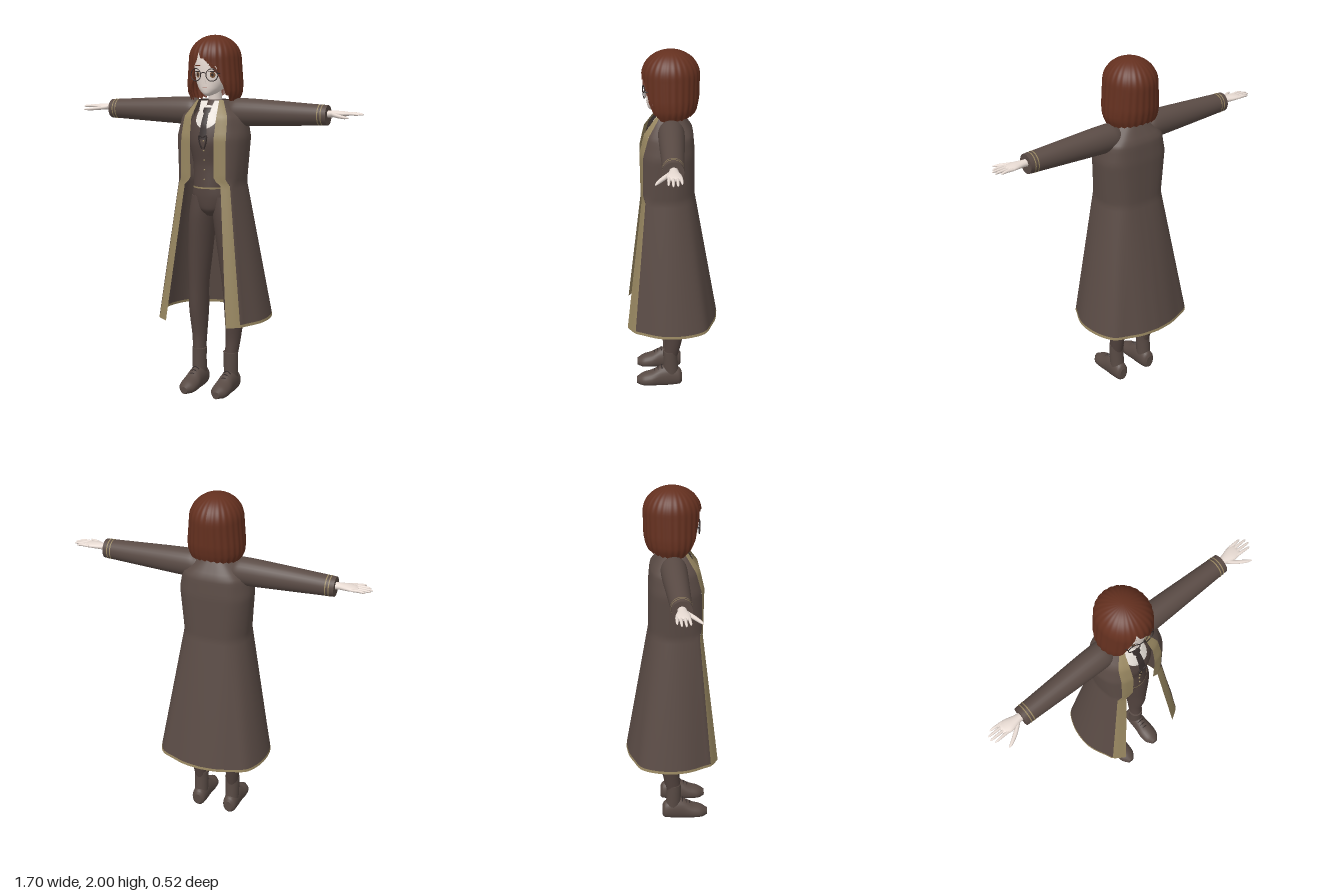
import * as THREE from 'three';

const mat = (name, color, side = THREE.FrontSide) => {
  const m = new THREE.MeshStandardMaterial({ color, side });
  m.name = name;
  return m;
};
const { lerp, clamp } = THREE.MathUtils;

// smooth surface from a rule fn(u, v) -> [x, y, z]
function grid(fn, nu, nv, closed = false) {
  const pos = [], idx = [], w = closed ? nu : nu + 1;
  for (let j = 0; j <= nv; j++) for (let i = 0; i < w; i++) pos.push(...fn(i / nu, j / nv));
  for (let j = 0; j < nv; j++) for (let i = 0; i < nu; i++) {
    const a = j * w + i, b = j * w + (i + 1) % w;
    idx.push(a, b, b + w, a, b + w, a + w);
  }
  const g = new THREE.BufferGeometry();
  g.setAttribute('position', new THREE.Float32BufferAttribute(pos, 3));
  g.setIndex(idx);
  g.computeVertexNormals();
  return g;
}

// piecewise linear lookup in rows keyed by their first number
function look(rows, t) {
  let i = 0;
  while (i < rows.length - 2 && t > rows[i + 1][0]) i++;
  const k = clamp((t - rows[i][0]) / (rows[i + 1][0] - rows[i][0]), 0, 1);
  return rows[i].map((a, n) => lerp(a, rows[i + 1][n], k));
}

// capped body of elliptical rings [position, centreA, centreB, radiusA, radiusB]
function loft(axis, rings, nu = 28, nv = 28) {
  const curves = rings[0].map((_, n) =>
    new THREE.CatmullRomCurve3(rings.map(r => new THREE.Vector3(r[n], 0, 0)), false, 'catmullrom', 0.4));
  return grid((u, v) => {
    const row = Math.round(v * (nv + 4)) - 2;
    const t = clamp(row / nv, 0, 1), k = row === -2 || row === nv + 2 ? 0 : 1;
    const [p, a, b, ra, rb] = curves.map(c => c.getPoint(t).x);
    const s = Math.sin(u * Math.PI * 2) * k, c = Math.cos(u * Math.PI * 2) * k;
    if (axis === 'y') return [a + ra * s, p, b + rb * c];
    if (axis === 'x') return [p, a - ra * s, b + rb * c];
    return [a - ra * s, Math.max(0, b + rb * c), p];
  }, nu, nv + 4, true);
}

const tube = (pts, r, n = 12) => new THREE.TubeGeometry(
  new THREE.CatmullRomCurve3(pts.map(p => new THREE.Vector3(...p))), n, r, 6);

// height, then x,z pairs from the centre of the back to the front edge
const COAT = [
  [0.43, 0, -.262, .1, -.25, .18, -.222, .26, -.185, .305, -.1, .32, 0, .31, .08, .27, .17, .25, .21, .185, .255],
  [1.2, 0, -.125, .06, -.122, .11, -.11, .15, -.08, .178, -.03, .185, .02, .18, .07, .168, .12, .155, .145, .108, .165],
  [1.222, 0, -.125, .06, -.122, .11, -.11, .15, -.08, .18, -.03, .187, .02, .182, .07, .168, .12, .135, .158, .07, .172],
  [1.45, 0, -.125, .07, -.122, .13, -.108, .175, -.075, .2, -.03, .205, .015, .2, .06, .18, .11, .135, .155, .072, .175],
  [1.56, 0, -.115, .07, -.112, .13, -.095, .165, -.06, .185, -.02, .19, .01, .185, .04, .165, .08, .13, .125, .075, .15],
  [1.65, 0, -.06, .03, -.058, .05, -.05, .07, -.035, .085, -.02, .09, .005, .09, .025, .085, .05, .08, .068, .062, .085],
];
function coatPoint(u, y) {
  const r = look(COAT, y), pts = [];
  for (let i = 1; i < r.length; i += 2) pts.push(new THREE.Vector3(r[i], y, r[i + 1]));
  const p = new THREE.CatmullRomCurve3(pts).getPoint(Math.abs(u));
  return [p.x * Math.sign(u), y, p.z];
}
const coatPatch = (u0, u1, y0, y1, nu, nv) =>
  grid((u, v) => coatPoint(lerp(u0, u1, u), lerp(y1, y0, v)), nu, nv);

const HEAD = [[1.672, 0, .095, .008, .012], [1.685, 0, .08, .035, .045], [1.71, 0, .055, .065, .077],
  [1.75, 0, .035, .088, .1], [1.8, 0, .03, .098, .108], [1.86, 0, .025, .105, .11],
  [1.92, 0, .02, .09, .1], [1.96, 0, .02, .04, .05]];
const VEST = [[1.17, 0, .02, .112, .125], [1.3, 0, .02, .115, .118], [1.42, 0, .02, .14, .135],
  [1.52, 0, .01, .14, .125], [1.6, 0, .005, .09, .09], [1.65, 0, .005, .04, .045]];

// thin patch lying on the front of a lofted body
function onFront(rings, x, y, off) {
  const [, cx, cz, rx, rz] = look(rings, y);
  return [x, y, cz + rz * Math.sqrt(Math.max(0, 1 - ((x - cx) / rx) ** 2)) + off];
}
const oval = (rings, cx, cy, rx, ry, off) => grid((u, v) => {
  const a = u * Math.PI * 2, r = 1 - v;
  return onFront(rings, cx + rx * r * Math.cos(a), cy + ry * r * Math.sin(a), off);
}, 24, 5, true);

// lower edge of the hair by angle from the front, in degrees
const HAIR_EDGE = [[-180, 1.665], [-110, 1.645], [-68, 1.635], [-48, 1.68], [-37, 1.74], [-28, 1.82], [-15, 1.91],
  [-6, 1.87], [20, 1.845], [30, 1.815], [37, 1.75], [48, 1.68], [68, 1.635], [110, 1.645], [180, 1.665]];
const HAIR_SIZE = [[1.63, .125, .115], [1.69, .152, .14], [1.74, .153, .15], [1.87, .142, .153]];
function hairPoint(u, v, scale = 1) {
  const deg = u * 360 - 180, a = deg * Math.PI / 180;
  const end = look(HAIR_EDGE, deg)[1] + .012 * Math.abs(((u * 26) % 1) * 2 - 1);
  const y = lerp(end, 2, Math.sin(v * Math.PI / 2));
  const dome = y > 1.87 ? Math.sqrt(Math.max(0, 1 - ((y - 1.87) / .13) ** 2)) : 1;
  const [, rx, rz] = look(HAIR_SIZE, y);
  const k = scale * dome * (1 + .014 * Math.cos(u * Math.PI * 2 * 26) * (1 - v * .6));
  return [rx * k * Math.sin(a), y, .005 + rz * k * Math.cos(a)];
}

export function createModel() {
  const M = {
    coat: mat('coat brown', 0x5a4b45, THREE.DoubleSide),
    cloth: mat('dark brown cloth', 0x53443f),
    leather: mat('boot leather', 0x584a44),
    trim: mat('old gold trim', 0x978660, THREE.DoubleSide),
    skin: mat('skin', 0xeaddd5),
    shirt: mat('shirt white', 0xe6dfd8, THREE.DoubleSide),
    hair: mat('auburn hair', 0x64301f, THREE.DoubleSide),
    dark: mat('near black', 0x362d2c, THREE.DoubleSide),
    iris: mat('amber iris', 0x80583a, THREE.DoubleSide),
    lip: mat('lip', 0xb88478, THREE.DoubleSide),
  };
  const model = new THREE.Group();
  model.name = 'coatedFigure';
  const add = (name, geo, m, parent = model) => {
    const mesh = new THREE.Mesh(geo, m);
    mesh.name = name;
    parent.add(mesh);
    return mesh;
  };

  // long open coat
  const e = 8 / 9;
  add('coatBody', coatPatch(-e, e, .445, 1.65, 72, 56), M.coat);
  add('coatHem', coatPatch(-e, e, .43, .445, 72, 1), M.trim);

  // torso clothes
  add('vest', loft('y', VEST), M.cloth);
  add('vestHem', grid((u, v) => {
    const a = u * Math.PI * 2;
    return [.114 * Math.sin(a), 1.168 + v * .009, .02 + .128 * Math.cos(a)];
  }, 32, 1, true), M.trim);
  add('hips', loft('y', [[1.01, 0, .015, .035, .07], [1.05, 0, .01, .1, .105], [1.12, 0, .01, .128, .115],
    [1.2, 0, .015, .11, .11]]), M.cloth);
  add('shirtFront', oval(VEST, 0, 1.56, .066, .062, .007), M.shirt);
  add('necktie', grid((u, v) => {
    const y = lerp(1.44, 1.61, v);
    return onFront(VEST, (u - .5) * (v > .85 ? .045 : .026 + .018 * (1 - v)), y, .016);
  }, 4, 16), M.dark);
  for (let i = 0; i < 5; i++) {
    const b = add('vestButton', new THREE.SphereGeometry(.005, 10, 8), M.trim);
    b.position.set(...onFront(VEST, 0, 1.22 + i * .053, .002));
  }
  for (const s of [-1, 1]) {
    add('ribbon', tube([[0, 1.45, .162], [s * .022, 1.462, .163], [s * .018, 1.42, .163], [s * .006, 1.39, .16]], .004), M.dark);
  }

  // neck and head
  add('neck', loft('y', [[1.58, 0, 0, .05, .045], [1.64, 0, .005, .037, .038], [1.74, 0, .015, .037, .04]]), M.skin);
  add('head', loft('y', HEAD, 36, 36), M.skin);
  const nose = add('nose', new THREE.ConeGeometry(.01, .035, 8), M.skin);
  nose.position.set(0, 1.757, .136);
  nose.rotation.x = .35;
  add('mouth', oval(HEAD, 0, 1.718, .014, .0025, .004), M.lip);
  add('hair', grid((u, v) => hairPoint(u, v), 208, 28), M.hair);
  add('hairUnderLayer', grid((u, v) => hairPoint(.13 + u * .74, v, .93), 160, 16), M.hair);

  // swept fringe strands
  for (let i = 0; i < 6; i++) {
    const a1 = (12 + i * 8) * Math.PI / 180, y1 = 1.85 - i * .024;
    add('fringeStrand', tube([[-.035, 1.925, .133], [lerp(-.035, .145 * Math.sin(a1), .5), lerp(1.925, y1, .4), .15 - i * .003],
      [.146 * Math.sin(a1), y1, .005 + .153 * Math.cos(a1)]], .005), M.hair);
  }
  add('glassesBridge', tube([[-.016, 1.795, .15], [0, 1.8, .153], [.016, 1.795, .15]], .0025), M.dark);

  // paired parts, built for +x and mirrored
  for (const s of [1, -1]) {
    const side = new THREE.Group();
    side.name = s > 0 ? 'leftSide' : 'rightSide';
    side.scale.x = s;
    model.add(side);
    const put = (name, geo, m) => add(name, geo, m, side);

    put('coatFacing', coatPatch(e, 1, .43, 1.65, 4, 56), M.trim);
    put('shirtCollar', grid((u, v) => [lerp(.012, .055, u) + v * .008, lerp(1.575 + u * .02, 1.645, v),
      lerp(.125 - u * .03, .055, v)], 4, 4), M.shirt);

    // sleeve with two cuff bands
    put('sleeve', loft('x', [[.1, 1.575, .005, .07, .065], [.14, 1.583, .005, .077, .07], [.25, 1.584, .005, .074, .068],
      [.45, 1.583, .006, .064, .06], [.66, 1.582, .007, .053, .052]]), M.coat);
    for (const x of [.612, .63]) {
      const r = x > .62 ? .0555 : .0562;
      put('cuffBand', grid((u, v) => {
        const a = u * Math.PI * 2;
        return [x + v * .006, 1.582 - r * Math.sin(a), .007 + (r - .001) * Math.cos(a)];
      }, 28, 1, true), M.trim);
    }

    // hand
    put('palm', loft('x', [[.64, 1.588, .005, .02, .022], [.68, 1.59, .006, .018, .024], [.73, 1.592, .005, .015, .037],
      [.765, 1.592, .002, .011, .036], [.78, 1.592, 0, .005, .03]], 16, 14), M.skin);
    [[.03, .838, .034], [.011, .852, .012], [-.009, .848, -.01], [-.026, .825, -.03]].forEach(([z, x, z2]) =>
      put('finger', loft('x', [[.75, 1.592, z, .008, .009], [.79, 1.594, (z + z2) / 2, .008, .008],
        [x - .012, 1.592, z2, .006, .006], [x, 1.59, z2, .002, .002]], 10, 10), M.skin));
    put('thumb', loft('x', [[.685, 1.588, .02, .012, .014], [.73, 1.582, .055, .01, .014],
      [.775, 1.578, .083, .008, .01], [.8, 1.577, .094, .003, .004]], 10, 10), M.skin);

    // leg and ankle boot
    put('trouserLeg', loft('y', [[.18, .1, .01, .035, .04], [.3, .107, -.008, .042, .05], [.45, .112, -.012, .053, .073],
      [.6, .107, 0, .057, .07], [.8, .093, .005, .068, .085], [1, .075, .01, .073, .1], [1.12, .062, .01, .066, .1]]), M.cloth);
    put('bootShaft', loft('y', [[.06, .1, .005, .04, .045], [.12, .1, .008, .041, .043], [.18, .1, .01, .042, .042],
      [.222, .099, .01, .043, .043]], 20, 12), M.leather);
    put('shoe', loft('z', [[-.057, .1, .04, .022, .035], [-.04, .1, .045, .04, .055], [.02, .1, .05, .045, .07],
      [.07, .1, .045, .046, .065], [.12, .1, .033, .052, .047], [.17, .1, .025, .047, .038], [.208, .1, .02, .02, .02]], 24, 24), M.leather);
    for (let i = 0; i < 3; i++) {
      put('bootLace', tube([[.078, .105 - i * .012, .06 + i * .02], [.1, .12 - i * .014, .063 + i * .02],
        [.122, .105 - i * .012, .06 + i * .02]], .003, 6), M.dark);
    }

    // eye, brow and glasses
    put('eyeWhite', oval(HEAD, .046, 1.787, .024, .017, .003), M.shirt);
    put('eyeIris', oval(HEAD, .044, 1.787, .013, .016, .005), M.iris);
    put('eyePupil', oval(HEAD, .044, 1.787, .006, .008, .007), M.dark);
    put('eyelid', oval(HEAD, .047, 1.804, .025, .003, .006), M.dark);
    put('eyebrow', oval(HEAD, .047, 1.836, .024, .003, .004), M.hair);
    const rim = put('glassesRim', new THREE.TorusGeometry(.033, .0025, 6, 32), M.dark);
    rim.position.set(.048, 1.787, .147);
    rim.rotation.y = .2;
    put('glassesArm', tube([[.08, 1.795, .14], [.1, 1.797, .09], [.104, 1.797, .03]], .0025), M.dark);
  }
  return model;
}
